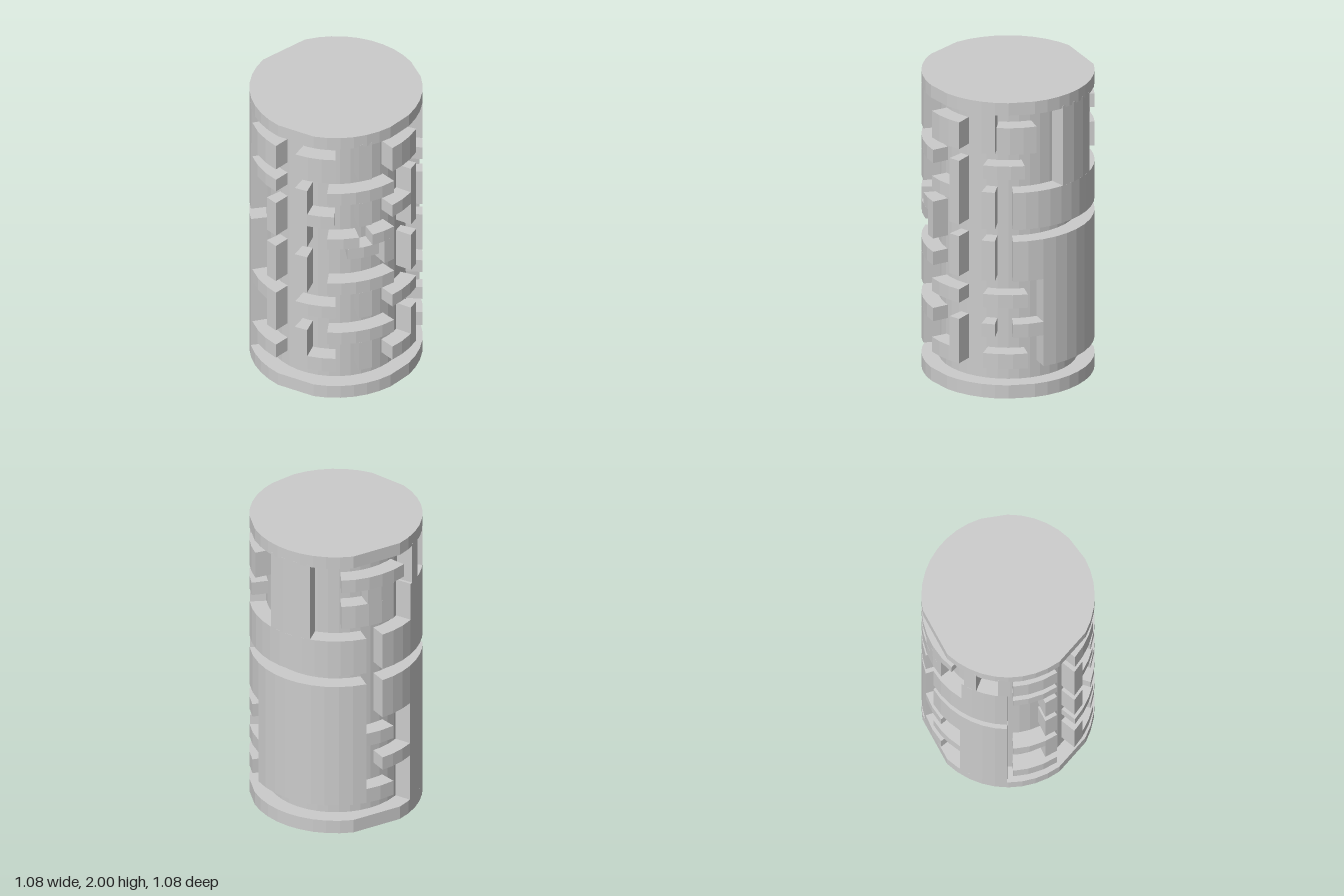
import * as THREE from 'three';

const R = 0.54, CORE = 0.435;
const material = new THREE.MeshStandardMaterial({ color: 0xcccccc, flatShading: true });

// Point on a circle, angle in degrees from +z towards +x (shape y becomes -z)
const polar = (r, deg) => {
  const a = THREE.MathUtils.degToRad(deg);
  return new THREE.Vector2(r * Math.sin(a), -r * Math.cos(a));
};

// Upright prism between two heights
function prism(name, points, y0, y1) {
  const geo = new THREE.ExtrudeGeometry(new THREE.Shape(points), { depth: y1 - y0, bevelEnabled: false });
  geo.rotateX(-Math.PI / 2).translate(0, y0, 0);
  const mesh = new THREE.Mesh(geo, material);
  mesh.name = name;
  return mesh;
}

// Curved raised block from angle a0 to a1
function block(name, [a0, a1, y0, y1]) {
  const n = Math.max(1, Math.round((a1 - a0) / 9));
  const outer = [], inner = [];
  for (let i = 0; i <= n; i++) {
    const a = a0 + (a1 - a0) * i / n;
    outer.push(polar(R, a));
    inner.unshift(polar(CORE - 0.02, a));
  }
  return prism(name, [...outer, ...inner], y0, y1);
}

// Full disc; the listed arcs are cut flat
function disc(name, r, y0, y1, flats = []) {
  const points = [];
  for (let a = 0; a < 360; a += 9) {
    if (!flats.some(([s, e]) => a > s && a < e)) points.push(polar(r, a));
  }
  return prism(name, points, y0, y1);
}

export function createModel() {
  const model = new THREE.Group();
  model.name = 'patternedCylinder';

  // Core and end rims
  const flats = [[36, 54], [99, 117], [198, 234], [315, 342]];
  model.add(disc('core', CORE, 0.04, 1.96));
  model.add(disc('bottomRim', R, 0, 0.09, flats));
  model.add(disc('topRim', R, 1.915, 2, flats));

  const parts = {
    // T shapes and hook on the front
    frontPattern: [
      [12.3, 21.3, 1.65, 1.93],
      [-9, 39, 1.48, 1.57], [12.3, 21.3, 1.3, 1.48],
      [-9, 12.5, 1.14, 1.22], [21.9, 39, 1.14, 1.22], [31, 39, 0.97, 1.14], [4.5, 26.8, 1.06, 1.14],
      [-9, 39, 0.79, 0.88], [12.3, 21.3, 0.6, 0.79],
      [-9, 39, 0.41, 0.5], [12.3, 21.3, 0.2, 0.41],
    ],
    // Column left of the front pattern
    frontLowXPattern: [
      [-31, -3.4, 1.65, 1.83],
      [-31.5, -22.5, 1.14, 1.57], [-22.5, -4, 1.3, 1.39],
      [-31.5, -22.5, 0.79, 1.06], [-31, -3.4, 0.61, 0.7],
      [-31.5, -22.5, 0.3, 0.5], [-31.5, -3.4, 0.2, 0.3],
    ],
    // Column right of the front pattern
    frontHighXPattern: [
      [37.4, 64.5, 1.65, 1.83],
      [56.5, 64.5, 1.14, 1.57], [37.4, 56.5, 1.3, 1.39],
      [56.5, 64.5, 0.79, 1.06], [37.4, 64.5, 0.61, 0.7],
      [56.5, 64.5, 0.3, 0.5], [37.4, 64.5, 0.2, 0.3],
    ],
    // Short bars around the +x side
    highXPattern: [
      [81, 90, 1.65, 1.93], [91, 118, 1.65, 1.83],
      [82, 110, 1.48, 1.57], [81, 90, 1.14, 1.39], [81, 90, 0.79, 1.06],
      [82, 112, 0.61, 0.7], [81, 90, 0.41, 0.5], [82, 112, 0.2, 0.3],
    ],
    // Short bars around the -x side
    lowXPattern: [
      [-88, -80, 1.65, 1.93], [-112, -103, 1.65, 1.93], [-78, -47, 1.65, 1.83],
      [-78, -47, 1.48, 1.57], [-56, -47, 1.14, 1.39], [-56, -47, 0.79, 1.06],
      [-78, -56, 0.61, 0.7], [-56, -47, 0.41, 0.7], [-78, -47, 0.2, 0.3],
    ],
    // Large plates wrapping the back, with the bars that join them
    backPlates: [
      [138, 169, 1.39, 1.93], [102, 207, 1.14, 1.39],
      [219, 246, 1.14, 1.39], [246, 278, 1.14, 1.65],
      [102, 123, 0.79, 1.06], [123, 207, 0.2, 1.06], [102, 123, 0.41, 0.5],
      [219, 245, 0.79, 1.06], [245, 278, 0.05, 1.06],
      [219, 245, 0.41, 0.5], [207, 228, 0.61, 0.7], [207, 228, 0.2, 0.3],
    ],
    // Notched block in the upper back recess
    notchedBlock: [
      [190, 228, 1.48, 1.64], [208, 228, 1.64, 1.74], [190, 238, 1.74, 1.83],
    ],
  };

  for (const [name, list] of Object.entries(parts)) {
    const group = new THREE.Group();
    group.name = name;
    for (const spec of list) group.add(block('raisedBar', spec));
    model.add(group);
  }
  return model;
}
